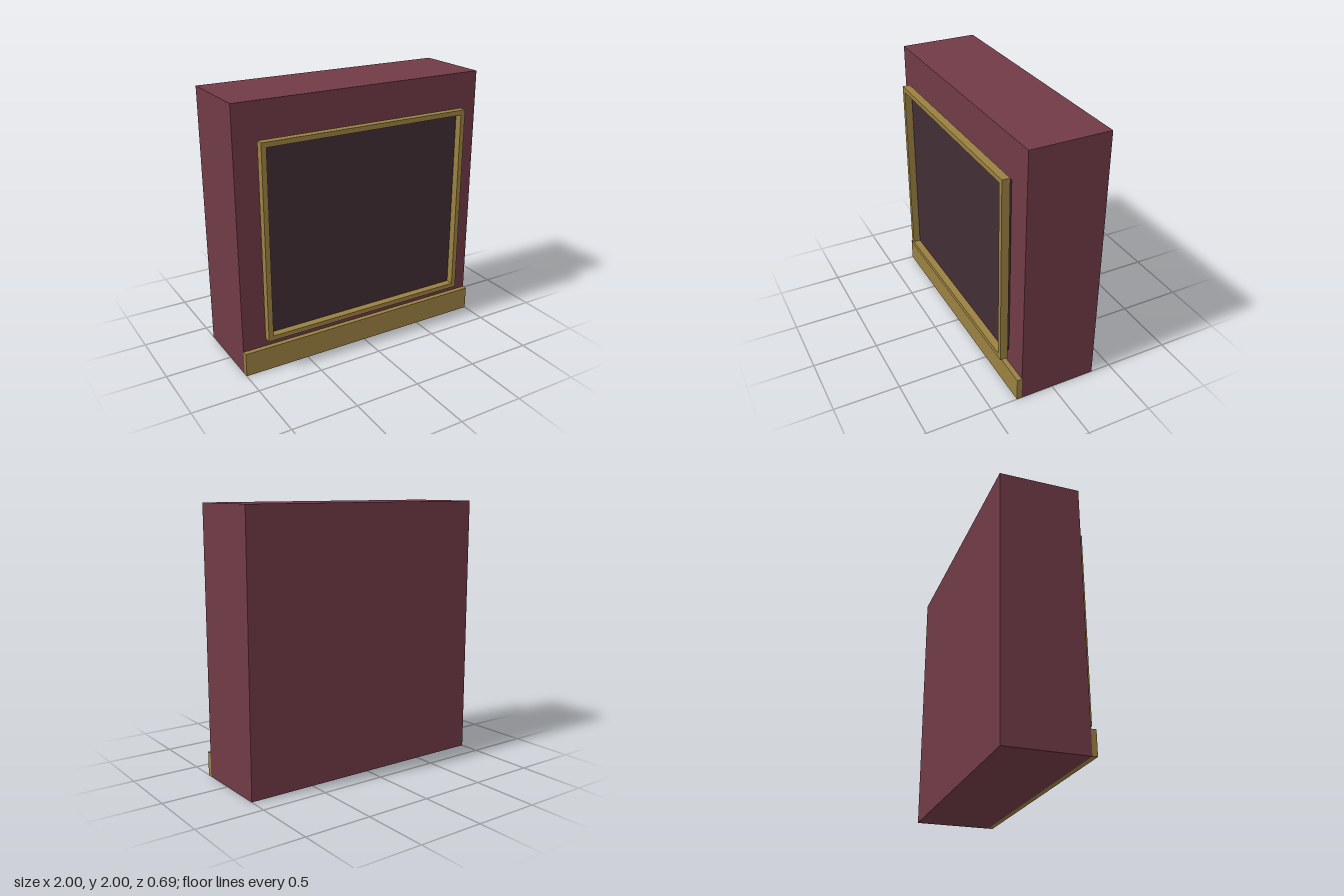
import * as THREE from 'three';

const material = (name, color) => {
  const m = new THREE.MeshStandardMaterial({ color });
  m.name = name;
  return m;
};

export function createModel() {
  const group = new THREE.Group();
  const maroon = material('maroon', 0x703a46);
  const gold = material('gold', 0x9a8041);
  const dark = material('dark plum', 0x412d35);

  // Box given by its limits on each axis
  const box = (name, mat, [x0, x1], [y0, y1], [z0, z1]) => {
    const mesh = new THREE.Mesh(new THREE.BoxGeometry(x1 - x0, y1 - y0, z1 - z0), mat);
    mesh.position.set((x0 + x1) / 2, (y0 + y1) / 2, (z0 + z1) / 2);
    mesh.name = name;
    group.add(mesh);
  };

  // Main block, front plinth and raised panel
  box('body', maroon, [-1, 1], [0, 2], [-0.344, 0.254]);
  box('plinth', gold, [-1, 1], [0, 0.18], [0.254, 0.292]);
  box('panel', dark, [-0.8, 0.8], [0.3, 1.7], [0.254, 0.287]);

  // Rectangular frame standing proud around the panel
  const outer = new THREE.Shape();
  outer.moveTo(-0.837, 0.263).lineTo(0.837, 0.263).lineTo(0.837, 1.74).lineTo(-0.837, 1.74).closePath();
  const hole = new THREE.Path();
  hole.moveTo(-0.8, 0.3).lineTo(-0.8, 1.703).lineTo(0.8, 1.703).lineTo(0.8, 0.3).closePath();
  outer.holes.push(hole);
  const frame = new THREE.Mesh(new THREE.ExtrudeGeometry(outer, { depth: 0.059, bevelEnabled: false }), gold);
  frame.position.z = 0.285;
  frame.name = 'frame';
  group.add(frame);

  return group;
}
